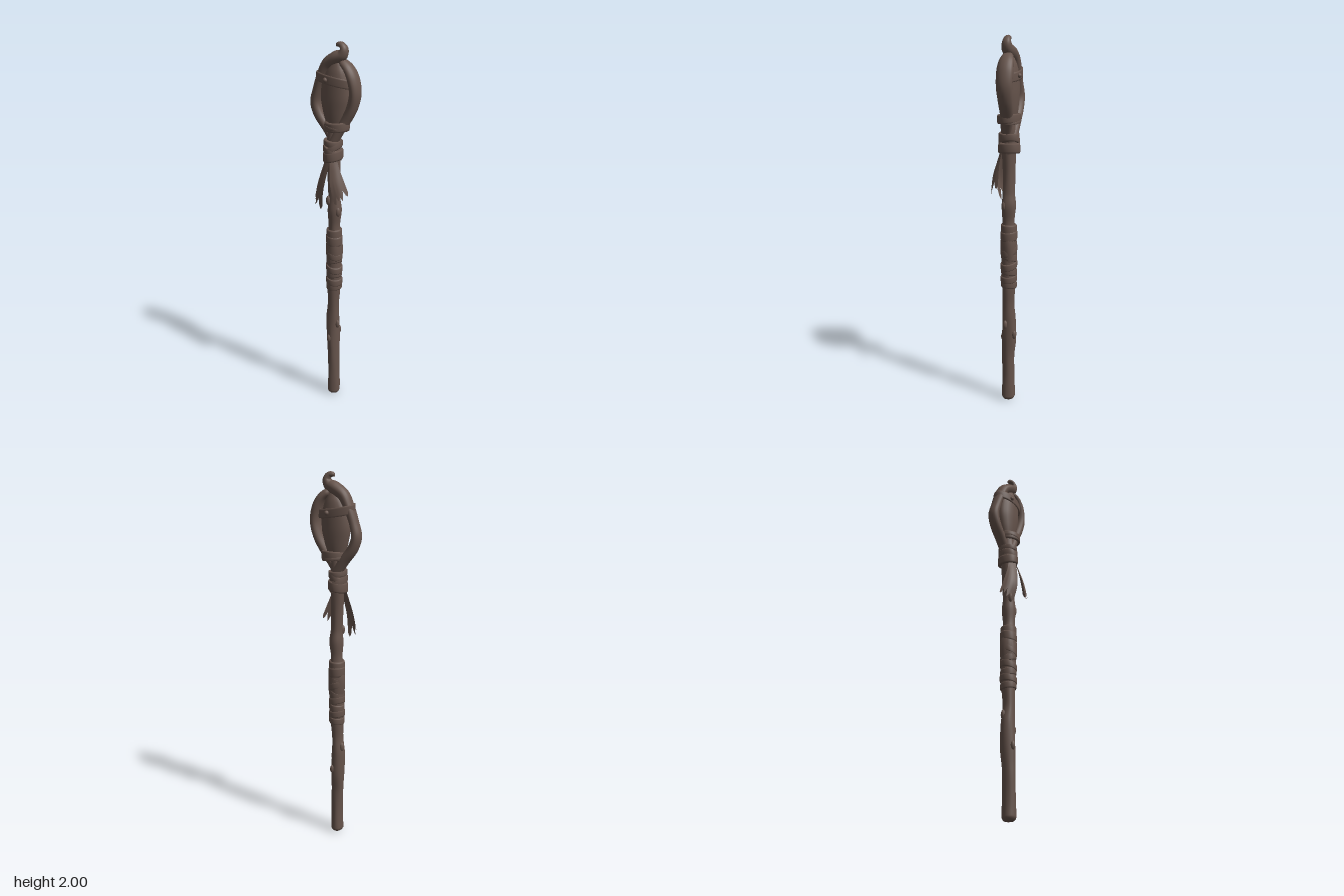
import * as THREE from 'three';

const wood = new THREE.MeshStandardMaterial({ color: 0x66544c, side: THREE.DoubleSide });
wood.name = 'dark brown wood';

function add(group, name, geometry) {
  const mesh = new THREE.Mesh(geometry, wood);
  mesh.name = name;
  group.add(mesh);
  return mesh;
}

function gridGeometry(rows, cols, closed, point) {
  const pos = [], idx = [], n = closed ? cols : cols + 1;
  for (let i = 0; i <= rows; i++)
    for (let j = 0; j < n; j++) pos.push(...point(i / rows, j / cols));
  for (let i = 0; i < rows; i++)
    for (let j = 0; j < cols; j++) {
      const k = (j + 1) % n, a = i * n + j, b = i * n + k, c = a + n, d = b + n;
      idx.push(a, c, b, b, c, d);
    }
  const g = new THREE.BufferGeometry();
  g.setAttribute('position', new THREE.Float32BufferAttribute(pos, 3));
  g.setIndex(idx);
  g.computeVertexNormals();
  return g;
}

// Limb of changing thickness through stations [x, y, z, radius across, radius in z]
function limb(stations, steps, bump = 0) {
  const path = new THREE.CatmullRomCurve3(stations.map(s => new THREE.Vector3(s[0], s[1], s[2])));
  const size = new THREE.CatmullRomCurve3(stations.map(s => new THREE.Vector3(s[3], s[4], 0)));
  const zAxis = new THREE.Vector3(0, 0, 1);
  return gridGeometry(steps, 20, true, (u, v) => {
    const c = path.getPoint(u), r = size.getPoint(u), t = path.getTangent(u), a = v * Math.PI * 2;
    const n = t.clone().cross(zAxis).normalize(), b = n.clone().cross(t);
    const k = 1 + bump * (Math.sin(3 * a + c.y * 11) + Math.sin(5 * a - c.y * 17) * 0.6);
    return c.addScaledVector(n, r.x * k * Math.cos(a)).addScaledVector(b, r.y * k * Math.sin(a)).toArray();
  });
}

// Strap around an oval, tilted by slopes along x and z
function strap(x, y, z, rx, rz, h, slopeX = 0, slopeZ = 0, t = 0.01) {
  const profile = [[-t, -0.5], [-t * 0.2, -0.5], [0, -0.35], [0, 0.35], [-t * 0.2, 0.5], [-t, 0.5]]
    .map(([r, v]) => new THREE.Vector2(rx + r, v * h));
  const g = new THREE.LatheGeometry(profile, 36);
  g.scale(1, 1, rz / rx);
  const p = g.attributes.position;
  for (let i = 0; i < p.count; i++)
    p.setY(i, p.getY(i) + slopeX * p.getX(i) + slopeZ * p.getZ(i));
  g.translate(x, y, z);
  g.computeVertexNormals();
  return g;
}

// Torn hanging cloth between two edge curves, with a jagged hem
function cloth(edgeA, edgeB, bulge) {
  const curve = e => new THREE.CatmullRomCurve3(e.map(p => new THREE.Vector3(...p)));
  const A = curve(edgeA), B = curve(edgeB);
  const hem = [0.02, 0, 0.12, 0.03, 0.15, 0.0, 0.06, 0.17, 0.05, 0, 0.08];
  return gridGeometry(14, 10, false, (u, v) => {
    const s = u * (1 - hem[Math.round(v * 10)]);
    const p = A.getPoint(s).lerp(B.getPoint(s), v);
    const w = Math.sin(v * Math.PI) * s;
    return [p.x + bulge * w, p.y, p.z + Math.abs(bulge) * w];
  });
}

export function createModel() {
  const staff = new THREE.Group();
  staff.name = 'staff';

  // Gnarled shaft with a rounded foot
  add(staff, 'shaft', limb([
    [0, 0, 0, 0.002, 0.002], [0, 0.005, 0, 0.024, 0.026], [0, 0.025, 0, 0.034, 0.037], [0.001, 0.07, 0, 0.033, 0.036],
    [0, 0.16, 0, 0.031, 0.034], [-0.002, 0.26, 0, 0.032, 0.034], [-0.006, 0.37, -0.004, 0.035, 0.04],
    [-0.008, 0.49, -0.002, 0.036, 0.036], [-0.002, 0.58, 0, 0.03, 0.032], [0, 0.67, -0.003, 0.034, 0.035],
    [0, 0.8, -0.004, 0.035, 0.036], [0, 0.98, -0.004, 0.035, 0.036], [0.002, 1.05, -0.003, 0.03, 0.033],
    [0.004, 1.13, -0.004, 0.037, 0.038], [0.002, 1.2, -0.003, 0.031, 0.032], [-0.002, 1.3, -0.004, 0.032, 0.033],
    [-0.004, 1.4, -0.004, 0.034, 0.036], [-0.006, 1.5, -0.005, 0.032, 0.036], [0, 1.57, -0.006, 0.03, 0.03],
  ], 150, 0.03));

  // Small knots and broken twigs on the shaft
  [[-0.012, 0.37, 0.034, 0.012], [0.028, 0.46, 0.008, 0.012], [-0.032, 0.53, -0.01, 0.014],
    [-0.018, 1.19, 0.026, 0.013], [0.03, 1.13, 0.012, 0.014], [0.012, 0.4, -0.038, 0.012]].forEach(([x, y, z, r]) => {
    const knot = add(staff, 'knot', new THREE.SphereGeometry(r, 12, 8));
    knot.position.set(x, y, z);
    knot.scale.y = 2;
  });

  // Leather grip with crossing bands
  add(staff, 'gripSleeve', strap(0, 0.85, -0.004, 0.039, 0.04, 0.33));
  [[1.0, 0.03, 0.05], [0.965, -0.1, 0.05], [0.925, 0.25, 0.035], [0.885, -0.35, 0.035], [0.845, 0.3, 0.04],
    [0.8, -0.25, 0.035], [0.765, 0.15, 0.04], [0.725, -0.15, 0.035], [0.69, 0.08, 0.035]].forEach(([y, slope, h], i) =>
    add(staff, 'gripBand', strap(0, y, -0.004, 0.042 + (i % 2) * 0.002, 0.043 + (i % 2) * 0.002, h, slope, slope * 0.5)));

  // Branch on the right side, sweeping up into the curled tip
  add(staff, 'hookedBranch', limb([
    [0.012, 1.4, -0.015, 0.02, 0.026], [0, 1.48, -0.02, 0.025, 0.03], [-0.045, 1.56, -0.02, 0.026, 0.032],
    [-0.096, 1.63, -0.018, 0.027, 0.033], [-0.115, 1.69, -0.017, 0.026, 0.033], [-0.1, 1.755, -0.014, 0.024, 0.032],
    [-0.072, 1.83, -0.012, 0.026, 0.035], [-0.04, 1.89, -0.011, 0.03, 0.036], [0.005, 1.92, -0.01, 0.033, 0.036],
    [0.04, 1.938, -0.01, 0.029, 0.03], [0.051, 1.965, -0.01, 0.02, 0.024], [0.036, 1.985, -0.01, 0.015, 0.018],
    [0.018, 1.985, -0.01, 0.012, 0.014], [0.008, 1.976, -0.01, 0.001, 0.001],
  ], 90, 0.02));

  // Branch on the left side, folding over the core
  add(staff, 'roundBranch', limb([
    [-0.02, 1.4, 0.008, 0.018, 0.024], [-0.012, 1.47, 0.012, 0.024, 0.026], [0.02, 1.54, 0.002, 0.025, 0.03],
    [0.058, 1.61, -0.012, 0.026, 0.034], [0.094, 1.68, -0.018, 0.027, 0.038], [0.112, 1.755, -0.018, 0.027, 0.042],
    [0.1, 1.825, -0.017, 0.027, 0.044], [0.076, 1.872, -0.016, 0.024, 0.04], [0.045, 1.9, -0.014, 0.02, 0.03],
    [0.02, 1.915, -0.012, 0.004, 0.006],
  ], 70, 0.02));

  // Pointed oval core held between the branches
  add(staff, 'core', limb([
    [0, 1.54, -0.01, 0.004, 0.004], [0, 1.58, -0.01, 0.042, 0.032], [0, 1.65, -0.01, 0.064, 0.042],
    [0.001, 1.73, -0.01, 0.078, 0.046], [0.005, 1.8, -0.01, 0.074, 0.045], [0.012, 1.86, -0.01, 0.05, 0.036],
    [0.018, 1.905, -0.01, 0.02, 0.018], [0.02, 1.92, -0.01, 0.002, 0.002],
  ], 36));

  // Bindings around the head, with a small stud at front and back
  add(staff, 'upperBinding', strap(-0.004, 1.812, -0.012, 0.1, 0.056, 0.045, -0.16, 0.1));
  add(staff, 'lowerBinding', strap(0.014, 1.588, -0.009, 0.066, 0.06, 0.045, 0.04, -0.08, 0.014));
  add(staff, 'lowerBindingEdge', strap(0.012, 1.577, -0.009, 0.064, 0.062, 0.015, -0.12, 0.05, 0.014));
  [[-0.025, 1.818, 0.042], [0.025, 1.805, -0.068]].forEach(([x, y, z]) => {
    const stud = add(staff, 'bindingStud', new THREE.SphereGeometry(0.012, 14, 10));
    stud.position.set(x, y, z);
  });

  // Neck wrapping where the branches meet
  [[1.43, 0.15, 0.05, 0.05], [1.45, -0.4, 0.048, 0.04], [1.47, 0.5, 0.047, 0.035], [1.497, -0.1, 0.046, 0.03]]
    .forEach(([y, slope, r, h]) => add(staff, 'neckWrap', strap(-0.006, y, -0.003, r, r + 0.009, h, slope, -slope * 0.3, 0.016)));

  // Torn cloth tails
  add(staff, 'rightClothTail', cloth(
    [[-0.032, 1.42, 0.025], [-0.05, 1.36, 0.032], [-0.078, 1.28, 0.03], [-0.104, 1.19, 0.018]],
    [[0.004, 1.42, 0.042], [-0.005, 1.35, 0.06], [-0.02, 1.25, 0.075], [-0.036, 1.14, 0.056]], -0.012));
  add(staff, 'leftClothTail', cloth(
    [[0, 1.42, 0.042], [0.008, 1.36, 0.058], [0.022, 1.29, 0.075], [0.05, 1.19, 0.076]],
    [[0.03, 1.42, 0.022], [0.05, 1.37, 0.028], [0.075, 1.31, 0.026], [0.102, 1.24, 0.02]], 0.012));

  return staff;
}
